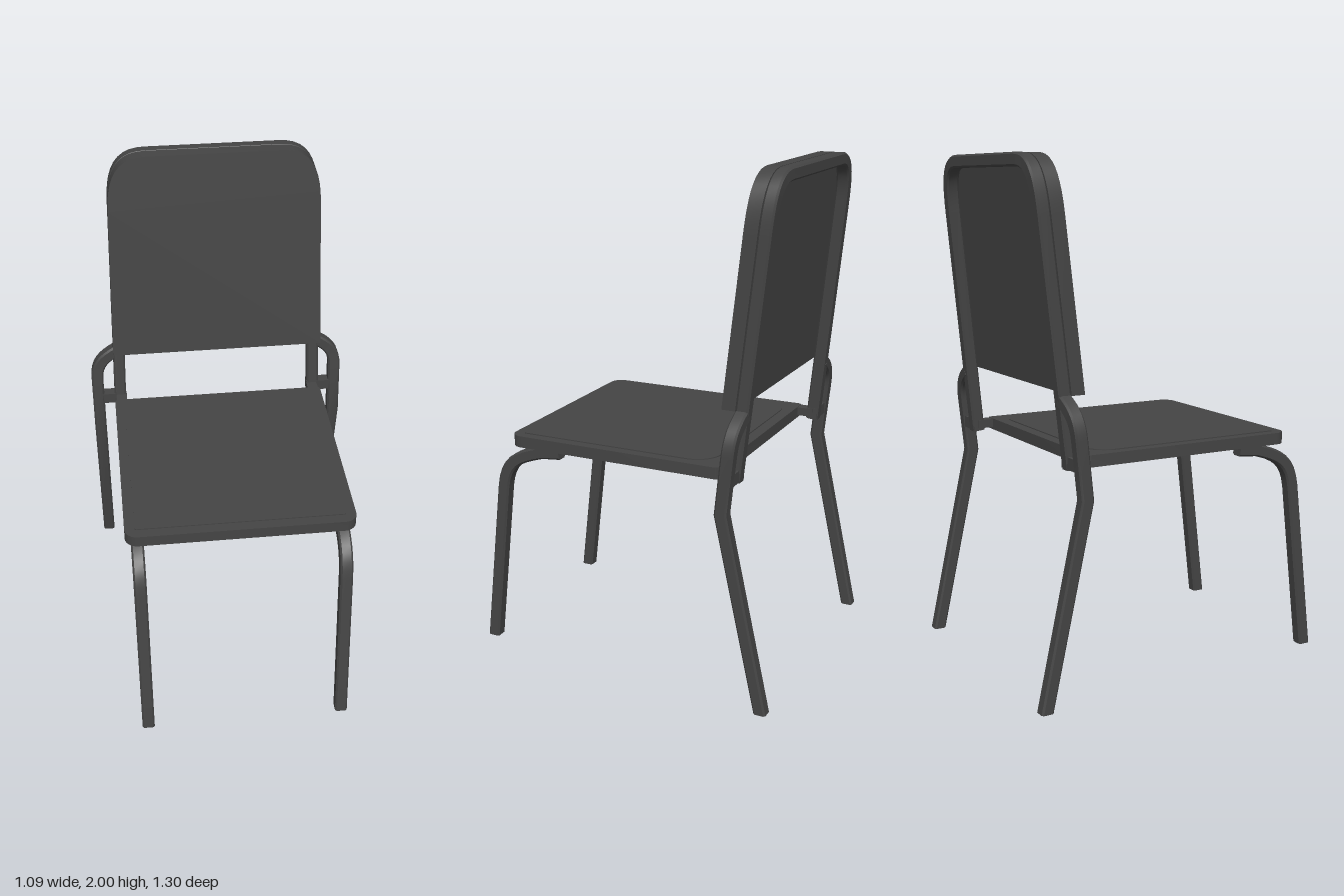
import * as THREE from 'three';
import { toCreasedNormals } from 'three/addons/utils/BufferGeometryUtils.js';

const V = (x, y, z) => new THREE.Vector3(x, y, z);
const material = new THREE.MeshStandardMaterial({ color: 0x444444 });
const TUBE = 0.025; // half the width of the square tube

// Depth of the reclined frame at a given height
const leanZ = (y) => -0.45 - 0.105 * (y - 0.77);

function part(name, geometry) {
  const mesh = new THREE.Mesh(toCreasedNormals(geometry, 0.5), material);
  mesh.name = name;
  return mesh;
}

// Sweeps a square section with softened corners along a path; ref fixes the roll
function squareTube(points, ref) {
  const c = TUBE - 0.007, h = TUBE;
  const section = [[h, -c], [h, c], [c, h], [-c, h], [-h, c], [-h, -c], [-c, -h], [c, -h]];
  const n = section.length, last = points.length - 1;
  const pos = [], index = [];
  points.forEach((p, i) => {
    const before = p.clone().sub(points[Math.max(i - 1, 0)]).normalize();
    const after = points[Math.min(i + 1, last)].clone().sub(p).normalize();
    const t = before.add(after).normalize();
    const u = t.clone().cross(ref).normalize();
    const v = t.clone().cross(u);
    for (const [a, b] of section) {
      const q = p.clone().addScaledVector(u, a).addScaledVector(v, b);
      pos.push(q.x, p.y === 0 ? 0 : q.y, q.z); // feet are cut level with the floor
    }
    if (i < last) {
      for (let k = 0; k < n; k++) {
        const a = i * n + k, b = i * n + (k + 1) % n;
        index.push(a, b, b + n, a, b + n, a + n);
      }
    }
  });
  for (let k = 1; k < n - 1; k++) {
    index.push(0, k + 1, k, last * n, last * n + k, last * n + k + 1);
  }
  const g = new THREE.BufferGeometry();
  g.setAttribute('position', new THREE.Float32BufferAttribute(pos, 3));
  g.setIndex(index);
  return g;
}

// Arch of the backrest, inset by d, running from its left foot over to its right
function backArch(d, bottom) {
  const path = new THREE.Path();
  path.moveTo(0.445 + (1.14 - bottom) * 0.023 - d, bottom);
  path.lineTo(0.43 - d, 1.78);
  path.bezierCurveTo(0.427 - d, 1.93 - d / 2, 0.38 - d / 2, 2 - d, 0.27, 2 - d);
  const half = path.getPoints(10);
  const mirrored = half.slice().reverse().map((p) => new THREE.Vector2(-p.x, p.y));
  return half.concat(mirrored);
}

// Flat slab with separate front and back corner radii, lying between two heights
function slab(hx, zBack, zFront, rBack, rFront, y0, y1) {
  const s = new THREE.Shape();
  const f = -zFront, b = -zBack;
  s.moveTo(-hx + rFront, f);
  s.lineTo(hx - rFront, f);
  s.absarc(hx - rFront, f + rFront, rFront, -Math.PI / 2, 0);
  s.absarc(hx - rBack, b - rBack, rBack, 0, Math.PI / 2);
  s.absarc(-hx + rBack, b - rBack, rBack, Math.PI / 2, Math.PI);
  s.absarc(-hx + rFront, f + rFront, rFront, Math.PI, Math.PI * 1.5);
  const g = new THREE.ExtrudeGeometry(s, { depth: y1 - y0, bevelEnabled: false, curveSegments: 8 });
  return g.rotateX(-Math.PI / 2).translate(0, y0, 0);
}

export function createModel() {
  const chair = new THREE.Group();
  chair.name = 'chair';

  // Seat with a thin inlaid cushion
  chair.add(part('seat', slab(0.45, -0.4, 0.497, 0.015, 0.05, 0.87, 0.916)));
  chair.add(part('seatCushion', slab(0.41, -0.355, 0.455, 0.1, 0.008, 0.91, 0.92)));

  // Back pad, sheared to follow the recline
  const pad = new THREE.ExtrudeGeometry(new THREE.Shape(backArch(0, 1.14)),
    { depth: 0.054, bevelEnabled: false });
  const p = pad.attributes.position;
  for (let i = 0; i < p.count; i++) p.setZ(i, p.getZ(i) + leanZ(p.getY(i)) + TUBE);
  chair.add(part('backPad', pad));

  // Arched tube behind the pad
  const arch = backArch(TUBE, 0.87).map((q) => V(q.x, q.y, leanZ(q.y)));
  chair.add(part('backFrame', squareTube(arch, V(0, 0, 1))));

  for (const s of [1, -1]) {
    const side = s > 0 ? 'left' : 'right';

    // Front leg bends back under the seat
    const bend = new THREE.CubicBezierCurve3(V(s * 0.403, 0.68, 0.553), V(s * 0.403, 0.79, 0.538),
      V(s * 0.403, 0.815, 0.49), V(s * 0.403, 0.85, 0.37));
    const front = [V(s * 0.403, 0, 0.63), ...bend.getPoints(8), V(s * 0.403, 0.858, 0.29)];
    chair.add(part(side + 'FrontLeg', squareTube(front, V(1, 0, 0))));

    // Rear leg kinks at the seat, then curves in to join the back frame
    const shoulder = new THREE.CubicBezierCurve3(V(0.52, 0.99, 0), V(0.52, 1.06, 0),
      V(0.49, 1.09, 0), V(0.425, 1.125, 0));
    const rear = [V(s * 0.52, 0, -0.62), V(s * 0.52, 0.77, leanZ(0.77)),
      ...shoulder.getPoints(8).map((q) => V(s * q.x, q.y, leanZ(q.y)))];
    chair.add(part(side + 'RearLeg', squareTube(rear, V(0, 0, 1))));

    // Crossbar between leg and upright, and the lug that holds the seat
    const bar = part(side + 'Crossbar', new THREE.BoxGeometry(0.13, 0.046, 0.044));
    bar.position.set(s * 0.465, 0.896, leanZ(0.896));
    const lug = part(side + 'SeatLug', new THREE.BoxGeometry(0.045, 0.034, 0.08));
    lug.position.set(s * 0.42, 0.897, -0.425);
    chair.add(bar, lug);
  }
  return chair;
}
